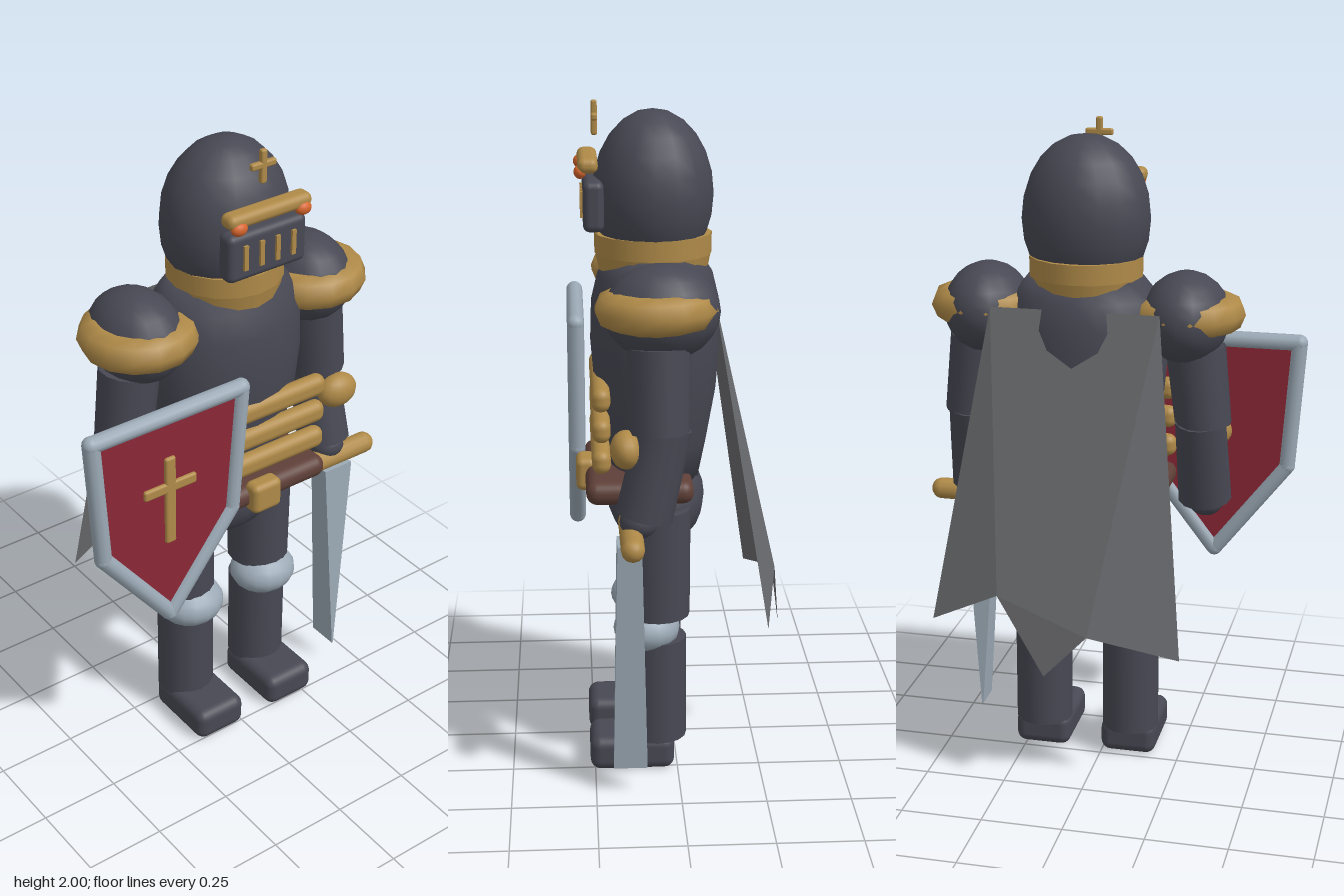
import * as THREE from 'three';
import { RoundedBoxGeometry } from 'three/addons/geometries/RoundedBoxGeometry.js';

const mat = (name, color, extra = {}) => Object.assign(new THREE.MeshStandardMaterial({ color, ...extra }), { name });

export function createModel() {
  const armor = mat('dark armor', 0x484854);
  const gold = mat('gold trim', 0xaf8a48);
  const steel = mat('pale steel', 0x9caab6);
  const red = mat('shield red', 0x8c2837);
  const brown = mat('belt leather', 0x5f4038);
  const cloth = mat('cape cloth', 0x6a6b6e, { side: THREE.DoubleSide });
  const orange = mat('orange rivet', 0xd5652c);

  const CX = 0.055; // body axis
  const model = new THREE.Group();
  model.name = 'armoredKnight';

  const add = (name, geometry, material, x = 0, y = 0, z = 0) => {
    const mesh = new THREE.Mesh(geometry, material);
    mesh.name = name;
    mesh.position.set(x, y, z);
    model.add(mesh);
    return mesh;
  };
  const ball = (name, m, x, y, z, rx, ry, rz) =>
    add(name, new THREE.SphereGeometry(1, 16, 12).scale(rx, ry, rz), m, x, y, z);
  const block = (name, m, x, y, z, w, h, d, r) =>
    add(name, new RoundedBoxGeometry(w, h, d, 3, r), m, x, y, z);
  // Tapered cylinder running between two points
  const limb = (name, m, a, b, ra, rb, sides = 14) => {
    const from = new THREE.Vector3(...a), to = new THREE.Vector3(...b);
    const dir = to.clone().sub(from);
    const mesh = add(name, new THREE.CylinderGeometry(rb, ra, dir.length(), sides), m);
    mesh.position.copy(from).addScaledVector(dir, 0.5);
    mesh.quaternion.setFromUnitVectors(new THREE.Vector3(0, 1, 0), dir.normalize());
    return mesh;
  };

  // Torso and hips
  const profile = [[0, 0.86], [0.165, 0.87], [0.2, 1.0], [0.235, 1.15], [0.25, 1.3],
    [0.245, 1.42], [0.22, 1.5], [0.175, 1.555], [0, 1.56]].map(p => new THREE.Vector2(...p));
  add('torso', new THREE.LatheGeometry(profile, 20).scale(1, 1, 0.77), armor, CX, 0, 0.055);
  ball('hips', armor, CX, 0.815, 0.055, 0.21, 0.155, 0.147);

  // Chest bands, belt and buckle
  for (const y of [1.17, 1.078, 0.985]) block('chestBand', gold, CX, y, 0.222, 0.5, 0.07, 0.055, 0.027);
  block('belt', brown, CX, 0.888, 0.11, 0.495, 0.07, 0.315, 0.033);
  block('buckle', gold, CX, 0.89, 0.265, 0.105, 0.1, 0.06, 0.02);

  // Collar and helmet
  add('collar', new THREE.CylinderGeometry(0.172, 0.172, 0.06, 16), gold, CX, 1.588, 0.06);
  add('collarBase', new THREE.CylinderGeometry(0.17, 0.158, 0.06, 16), gold, CX, 1.53, 0.06);
  ball('helmet', armor, CX, 1.73, 0.06, 0.195, 0.245, 0.177);
  block('visor', armor, CX, 1.71, 0.235, 0.27, 0.145, 0.06, 0.02);
  block('brow', gold, CX, 1.828, 0.25, 0.285, 0.044, 0.058, 0.02);
  for (const s of [-1, 1]) ball('browRivet', orange, CX + s * 0.11, 1.81, 0.272, 0.026, 0.02, 0.018);
  for (const i of [-1.5, -0.5, 0.5, 1.5])
    add('visorSlit', new THREE.BoxGeometry(0.014, 0.075, 0.009), gold, CX + i * 0.055, 1.712, 0.268);
  block('crestUpright', gold, CX, 1.95, 0.229, 0.02, 0.1, 0.018, 0.006);
  block('crestBar', gold, CX, 1.955, 0.229, 0.085, 0.02, 0.018, 0.006);

  // Arms and legs, mirrored about the body axis
  for (const s of [-1, 1]) {
    const X = d => CX + s * d;
    ball('shoulder', armor, X(0.305), 1.445, 0.05, 0.132, 0.137, 0.165);
    const rim = new THREE.TorusGeometry(0.121, 0.055, 8, 14).rotateX(Math.PI / 2);
    add('shoulderRim', rim, gold, X(0.306), 1.455, 0.066);
    limb('upperArm', armor, [X(0.335), 1.35, 0.06], [X(0.362), 1.11, 0.06], 0.09, 0.085);
    ball('elbow', gold, X(0.367), 1.065, 0.155, 0.068, 0.055, 0.046);
    limb('forearm', armor, [X(0.355), 1.13, 0.045], [X(0.363), 0.865, 0.105], 0.078, 0.083);
    ball('hand', armor, X(0.363), 0.85, 0.12, 0.056, 0.05, 0.055);

    limb('thigh', armor, [X(0.147), 0.485, 0.057], [X(0.149), 0.82, 0.057], 0.097, 0.099, 16);
    ball('knee', steel, X(0.143), 0.438, 0.09, 0.107, 0.073, 0.1);
    limb('shin', armor, [X(0.142), 0.09, 0.06], [X(0.142), 0.41, 0.06], 0.09, 0.09, 16);
    block('foot', armor, X(0.14), 0.053, 0.137, 0.177, 0.106, 0.255, 0.032);
  }

  // Sword: gold crossguard and a wedge blade closing to an edge at the bottom
  const guard = add('swordGuard', new THREE.CapsuleGeometry(0.034, 0.258, 6, 12), gold, 0.423, 0.81, 0.142);
  guard.rotation.z = Math.PI / 2;
  const blade = new THREE.BoxGeometry(0.105, 0.71, 0.07);
  const bp = blade.attributes.position;
  for (let i = 0; i < bp.count; i++) {
    if (bp.getY(i) < 0) {
      bp.setX(i, Math.sign(bp.getX(i)) * 0.002);
      bp.setZ(i, Math.sign(bp.getZ(i)) * 0.05);
    }
  }
  blade.computeVertexNormals();
  add('swordBlade', blade, steel, 0.421, 0.435, 0.148);

  // Shield: red plate, tubular rim and a raised cross
  const corners = [[-0.562, 1.32], [-0.055, 1.32], [-0.085, 0.92], [-0.31, 0.628], [-0.535, 0.92]];
  const plate = new THREE.Shape(corners.map(c => new THREE.Vector2(...c)));
  add('shieldPlate', new THREE.ExtrudeGeometry(plate, { depth: 0.02, bevelEnabled: false }), red, 0, 0, 0.278);
  corners.forEach((c, i) => {
    const n = corners[(i + 1) % corners.length];
    limb('shieldRim', steel, [...c, 0.29], [...n, 0.29], 0.026, 0.026, 10);
    ball('shieldRimCorner', steel, c[0], c[1], 0.29, 0.026, 0.026, 0.026);
  });
  block('shieldCrossUpright', gold, -0.31, 1.04, 0.299, 0.036, 0.295, 0.02, 0.008);
  block('shieldCrossBar', gold, -0.31, 1.086, 0.299, 0.18, 0.034, 0.02, 0.008);

  // Cape: straight top edge falling to a ragged hem
  const cape = new THREE.BufferGeometry();
  cape.setAttribute('position', new THREE.Float32BufferAttribute([
    -0.2, 1.48, -0.1, 0.31, 1.48, -0.1, // top edge
    0.465, 0.53, -0.25, 0.25, 0.64, -0.29, 0.1, 0.405, -0.32, -0.03, 0.54, -0.312, -0.3, 0.465, -0.25,
  ], 3));
  cape.setIndex([0, 1, 5, 0, 5, 6, 1, 3, 5, 1, 2, 3, 3, 4, 5]);
  const capeFlat = cape.toNonIndexed();
  capeFlat.computeVertexNormals();
  add('cape', capeFlat, cloth);

  return model;
}
